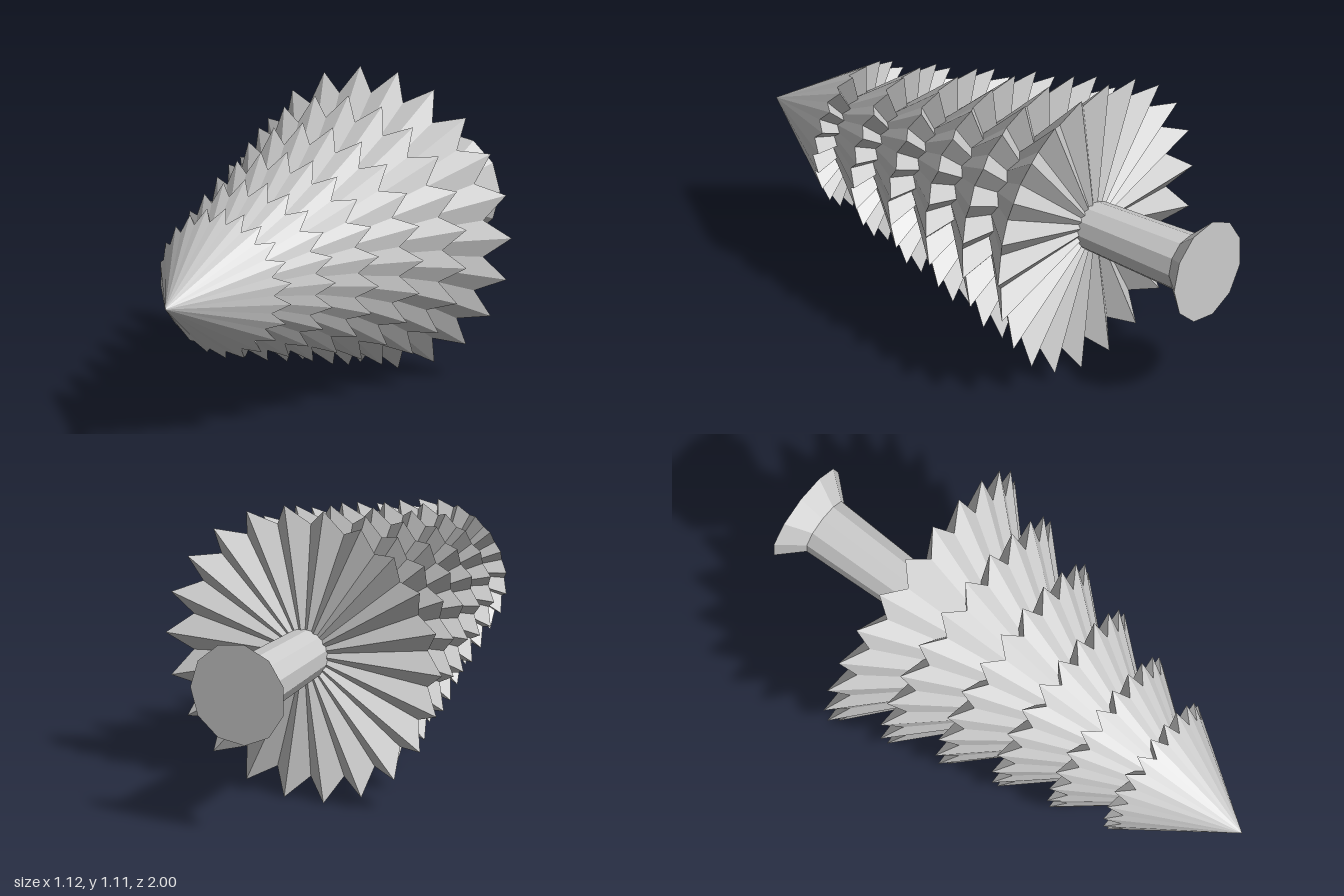
import * as THREE from 'three';

const POINTS = 22;      // points on each star-shaped tier
const AXIS_Y = 0.555;   // height of the lying tree's axis

// Pleated cone along z: sharp apex, zigzag rim, folded underside
function tierGeometry(radius, rimZ, apexZ, turn) {
  const apex = [0, 0, apexZ], hub = [0, 0, rimZ];
  const rim = i => {
    const a = turn + (i * Math.PI) / POINTS;
    const notch = Math.abs(i) % 2 === 1;
    const r = notch ? radius * 0.855 : radius;
    return [Math.cos(a) * r, Math.sin(a) * r, rimZ + (notch ? 0.056 : 0)];
  };
  const pos = [];
  for (let i = 0; i < POINTS * 2; i++) {
    const p = rim(i), q = rim(i + 1);
    pos.push(...apex, ...p, ...q, ...hub, ...q, ...p);
  }
  const geo = new THREE.BufferGeometry();
  geo.setAttribute('position', new THREE.Float32BufferAttribute(pos, 3));
  geo.computeVertexNormals();
  return geo;
}

export function createModel() {
  const model = new THREE.Group();
  model.name = 'lyingTree';
  const grey = new THREE.MeshStandardMaterial({ color: 0xcccccc, flatShading: true });
  grey.name = 'plainGrey';

  // Six tiers, widest at the back, every other one turned by half a point
  for (let i = 0; i < 6; i++) {
    const geo = tierGeometry(0.56 - i * 0.056, -0.48 + i * 0.212, 0.06 + i * 0.188,
      i % 2 ? Math.PI / POINTS : 0);
    const tier = new THREE.Mesh(geo, grey);
    tier.name = 'branchTier' + (i + 1);
    tier.position.y = AXIS_Y;
    model.add(tier);
  }

  // Trunk with a flared foot and a closed end
  const profile = [[0.09, 0.4], [0.095, 0.48], [0.112, 0.91], [0.193, 1], [0, 1]]
    .map(([r, y]) => new THREE.Vector2(r, y));
  const trunkGeo = new THREE.LatheGeometry(profile, 11);
  trunkGeo.rotateY(Math.PI / 2).rotateX(-Math.PI / 2);
  const trunk = new THREE.Mesh(trunkGeo, grey);
  trunk.name = 'trunk';
  trunk.position.y = AXIS_Y;
  model.add(trunk);

  return model;
}
